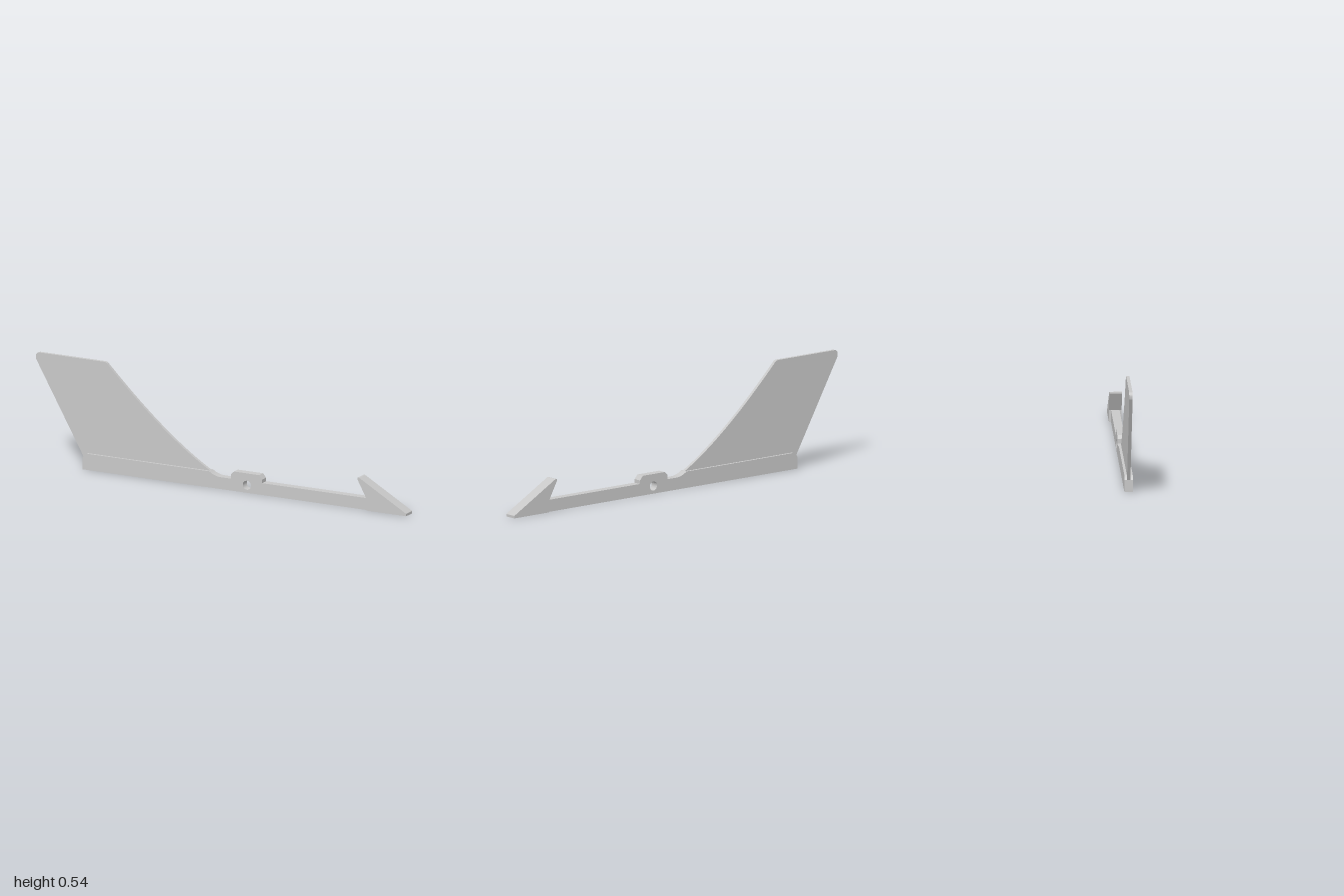
import * as THREE from 'three';

// Upright plate of the given thickness, centred on z = 0
function plate(name, shape, thickness, material) {
  const geometry = new THREE.ExtrudeGeometry(shape, {
    depth: thickness, bevelEnabled: false, curveSegments: 20,
  });
  geometry.translate(0, 0, -thickness / 2);
  const mesh = new THREE.Mesh(geometry, material);
  mesh.name = name;
  return mesh;
}

export function createModel() {
  const lightGrey = new THREE.MeshStandardMaterial({ color: 0xc8c8c8 });
  lightGrey.name = 'lightGrey';
  const model = new THREE.Group();
  model.name = 'arrowWithFin';

  // Long shaft with a raised, chamfered lug and a filleted step up to the fin
  const shaft = new THREE.Shape();
  shaft.moveTo(-0.742, 0);
  shaft.lineTo(0.787, 0);
  shaft.lineTo(0.787, 0.058);
  shaft.lineTo(0.222, 0.058);
  shaft.lineTo(0.222, 0.075);
  shaft.lineTo(0.205, 0.095);
  shaft.lineTo(0.071, 0.095);
  shaft.lineTo(0.054, 0.08);
  shaft.lineTo(0.054, 0.058);
  shaft.lineTo(0, 0.058);
  shaft.quadraticCurveTo(-0.035, 0.059, -0.062, 0.079);
  shaft.lineTo(-0.717, 0.079);
  shaft.quadraticCurveTo(-0.732, 0.074, -0.742, 0.058);
  shaft.closePath();
  const pivotHole = new THREE.Path();
  pivotHole.absarc(0.14, 0.037, 0.022, 0, Math.PI * 2, true);
  shaft.holes.push(pivotHole);
  model.add(plate('shaft', shaft, 0.04, lightGrey));

  // Thin swept fin, its root sunk into the shaft
  const fin = new THREE.Shape();
  fin.moveTo(-0.73, 0.04);
  fin.lineTo(-0.062, 0.04);
  fin.lineTo(-0.062, 0.079);
  fin.quadraticCurveTo(-0.3, 0.21, -0.612, 0.525);
  fin.quadraticCurveTo(-0.62, 0.537, -0.635, 0.537);
  fin.lineTo(-0.982, 0.537);
  fin.quadraticCurveTo(-1.003, 0.534, -0.998, 0.505);
  fin.lineTo(-0.742, 0.058);
  fin.closePath();
  model.add(plate('fin', fin, 0.016, lightGrey));

  // Thick barbed arrowhead
  const head = new THREE.Shape();
  head.moveTo(0.787, 0);
  head.lineTo(1, 0);
  head.lineTo(1, 0.012);
  head.lineTo(0.752, 0.153);
  head.quadraticCurveTo(0.744, 0.158, 0.738, 0.154);
  head.lineTo(0.739, 0.146);
  head.lineTo(0.787, 0.058);
  head.closePath();
  model.add(plate('arrowhead', head, 0.06, lightGrey));

  return model;
}
